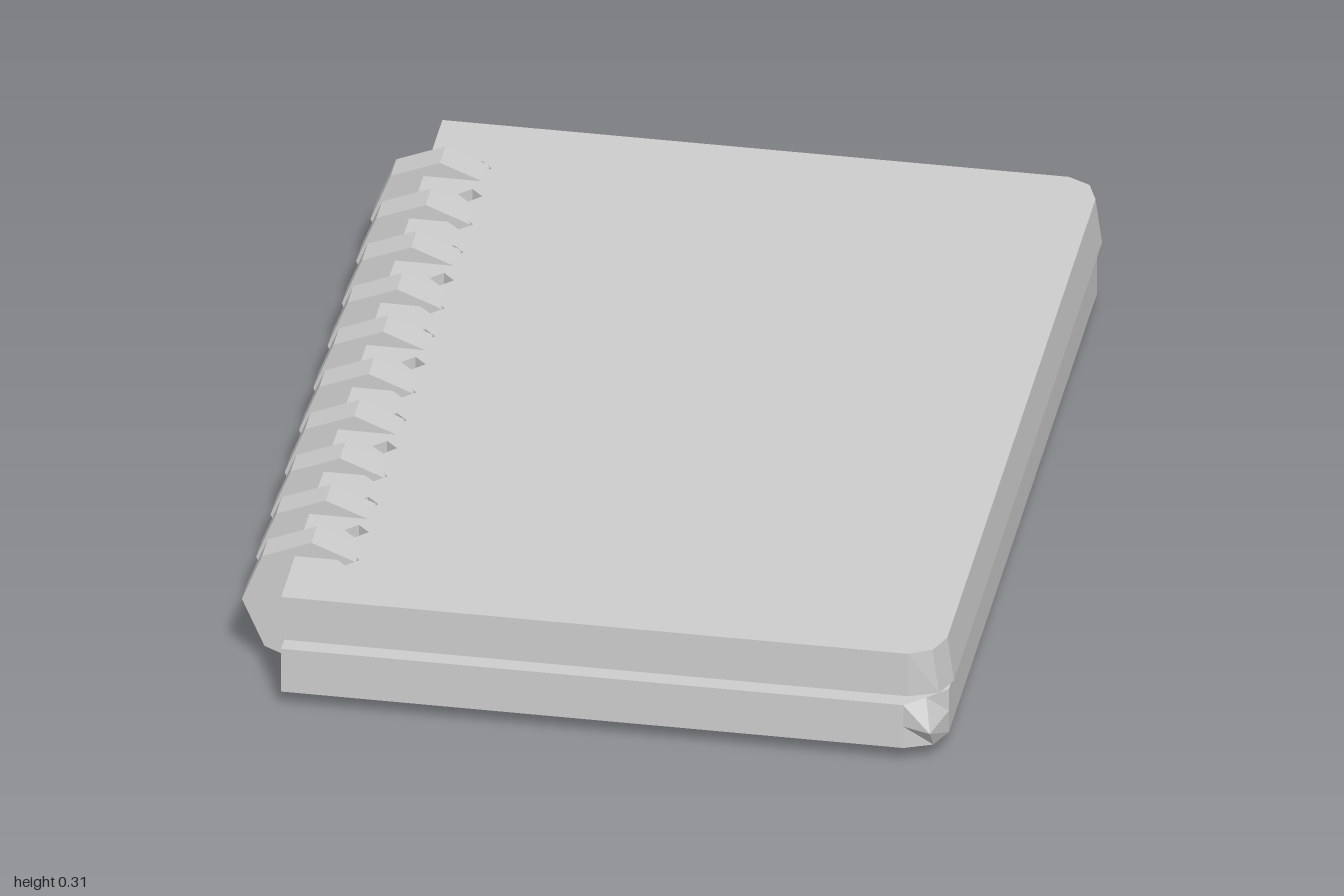
import * as THREE from 'three';

// Outline with square spine corners and three-point clipped corners on the open side
function outline(x0, a, b, c, z) {
  const s = new THREE.Shape();
  s.moveTo(x0, -z);
  s.lineTo(a, -z);
  s.lineTo(b[0], -b[1]);
  s.lineTo(c[0], -c[1]);
  s.lineTo(c[0], c[1]);
  s.lineTo(b[0], b[1]);
  s.lineTo(a, z);
  s.lineTo(x0, z);
  s.closePath();
  return s;
}

// Row of small diamond punch holes along the spine
function punchHoles(shape) {
  for (let i = -7; i <= 7; i++) {
    const z = i * 0.115, r = 0.026, h = new THREE.Path();
    h.moveTo(-0.545 + r, z);
    h.lineTo(-0.545, z - r);
    h.lineTo(-0.545 - r, z);
    h.lineTo(-0.545, z + r);
    h.closePath();
    shape.holes.push(h);
  }
  return shape;
}

// Upright slab; bend(x, z, level) may shift the clipped corners at each level 0..1
function slab(shape, y, height, steps, bend) {
  const g = new THREE.ExtrudeGeometry(shape, { depth: height, steps, bevelEnabled: false });
  g.rotateX(-Math.PI / 2);
  const p = g.attributes.position;
  for (let i = 0; bend && i < p.count; i++) {
    const x = p.getX(i), z = p.getZ(i);
    const [nx, nz] = bend(x, Math.abs(z), p.getY(i) / height);
    p.setX(i, nx);
    p.setZ(i, nz * Math.sign(z));
  }
  g.translate(0, y, 0);
  g.computeVertexNormals();
  return g;
}

export function createModel() {
  const group = new THREE.Group();
  group.name = 'ringNotebook';
  const grey = new THREE.MeshStandardMaterial({ color: 0xcccccc });
  grey.name = 'plain grey';

  const add = (name, geometry) => {
    const m = new THREE.Mesh(geometry, grey);
    m.name = name;
    group.add(m);
    return m;
  };
  const isTip = (x, z) => x > 0.7 && z > 0.92;

  // Lower cover: corner tips flare out at mid height and are cut back at the top
  const lower = punchHoles(outline(-0.655, 0.67, [0.73, 0.955], [0.753, 0.9], 0.98));
  add('lowerCover', slab(lower, 0.04, 0.105, 2, (x, z, t) => {
    if (!isTip(x, z)) return [x, z];
    if (t < 0.25) return [x, z];
    return t < 0.75 ? [0.73, 1.0] : [0.712, 0.941];
  }));

  // Upper cover: corners lean slightly outward toward the bottom
  const upper = punchHoles(outline(-0.655, 0.68, [0.728, 0.955], [0.75, 0.9], 0.98));
  add('upperCover', slab(upper, 0.168, 0.104, 1, (x, z, t) =>
    x > 0.7 && z > 0.85 ? [x + 0.014 * (1 - t), z] : [x, z]));

  // Recessed pages between the covers
  add('pages', slab(outline(-0.63, 0.61, [0.66, 0.91], [0.68, 0.86], 0.935), 0.14, 0.033, 1));

  // Faceted binding rings wrapped around the spine
  const profile = [[-0.525, 0.27], [-0.62, 0.308], [-0.725, 0.265], [-0.768, 0.155],
    [-0.72, 0.045], [-0.612, 0.001], [-0.525, 0.038]];
  const ringShape = new THREE.Shape(profile.map(([x, y]) => new THREE.Vector2(x, y)));
  const ringGeometry = new THREE.ExtrudeGeometry(ringShape, { depth: 0.068, bevelEnabled: false });
  ringGeometry.translate(0, 0, -0.034);
  for (let i = 0; i < 10; i++) {
    add('bindingRing', ringGeometry).position.z = (i - 4.5) * 0.1735 - 0.003;
  }
  return group;
}
